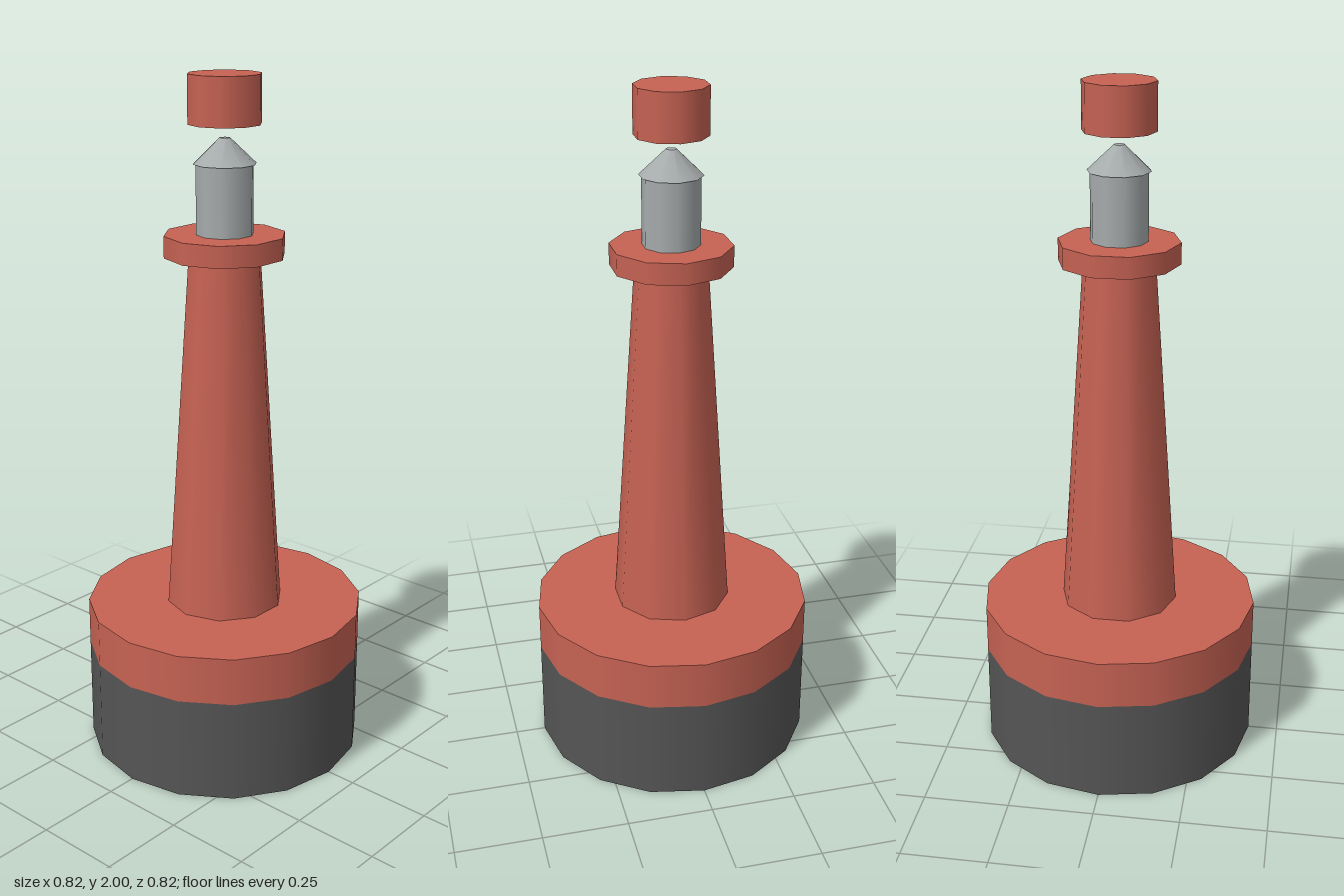
import * as THREE from 'three';

const RED = new THREE.MeshStandardMaterial({ color: 0xc66253 });
const DARK = new THREE.MeshStandardMaterial({ color: 0x555555 });
const STEEL = new THREE.MeshStandardMaterial({ color: 0xa6abab });

export function createModel() {
  const buoy = new THREE.Group();
  buoy.name = 'buoy';

  // Adds an upright drum or tapered section between two heights
  const section = (name, material, sides, y0, y1, rBottom, rTop = rBottom) => {
    const geometry = new THREE.CylinderGeometry(rTop, rBottom, y1 - y0, sides);
    const mesh = new THREE.Mesh(geometry, material);
    mesh.name = name;
    mesh.position.y = (y0 + y1) / 2;
    buoy.add(mesh);
  };

  // Float
  section('lowerHull', DARK, 16, 0, 0.305, 0.412);
  section('upperHull', RED, 16, 0.305, 0.447, 0.412);

  // Tapered tower and its platform
  section('tower', RED, 10, 0.447, 1.5, 0.174, 0.104);
  section('platform', RED, 10, 1.5, 1.562, 0.174);

  // Lantern with conical cap
  section('lantern', STEEL, 10, 1.562, 1.757, 0.082);
  section('lanternCap', STEEL, 10, 1.757, 1.828, 0.09, 0.015);

  // Can-shaped topmark, floating above the lantern
  section('topmark', RED, 10, 1.865, 2, 0.104);

  return buoy;
}
